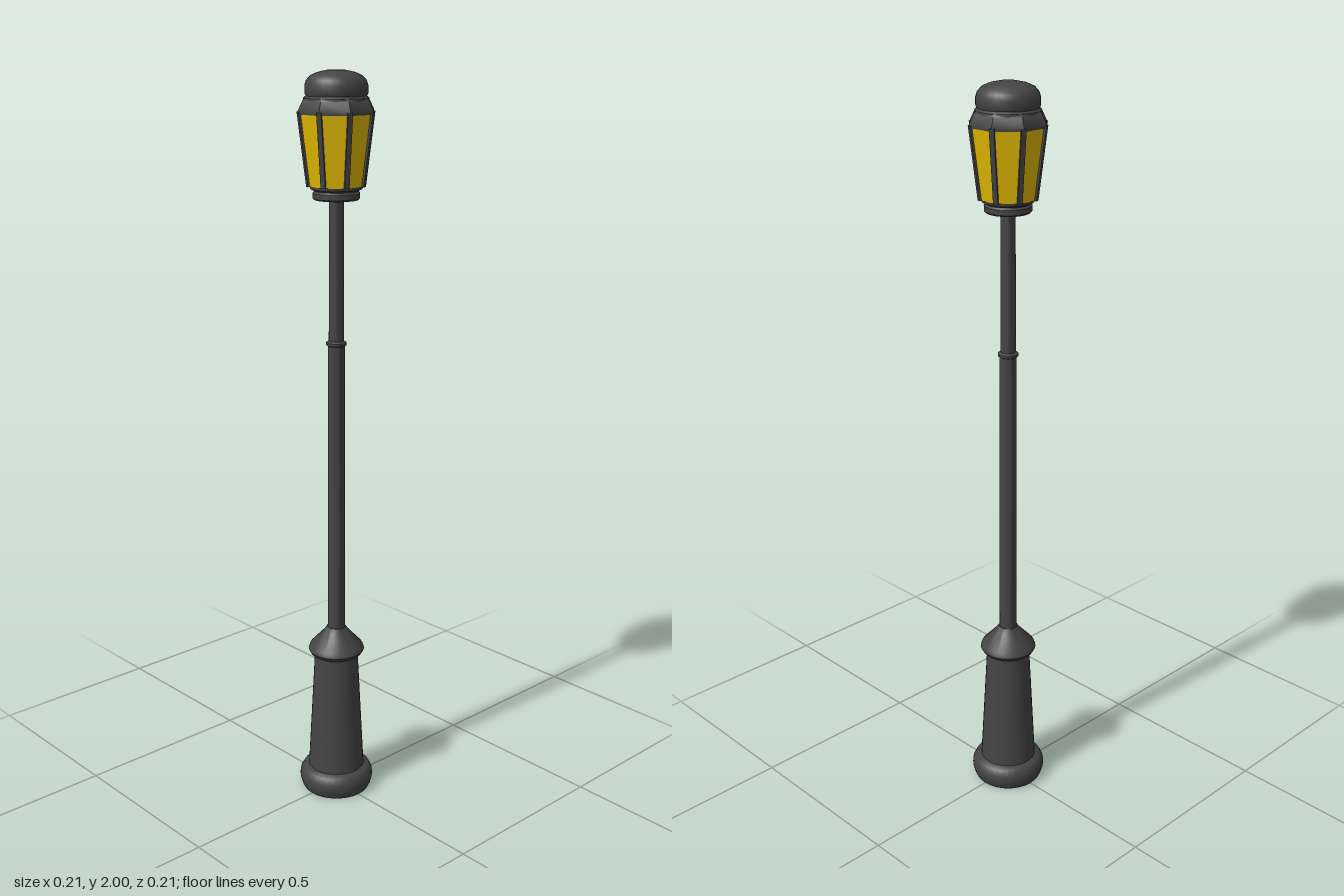
import * as THREE from 'three';
import { toCreasedNormals } from 'three/addons/utils/BufferGeometryUtils.js';

const metal = new THREE.MeshStandardMaterial({ color: 0x444444 });
const yellow = new THREE.MeshStandardMaterial({ color: 0xe0b800 });

export function createModel() {
  const model = new THREE.Group();

  const add = (name, geometry, material = metal) => {
    const mesh = new THREE.Mesh(geometry, material);
    mesh.name = name;
    model.add(mesh);
    return mesh;
  };
  // Turned part from [radius, height] pairs, listed from bottom to top
  const turned = (name, profile, sides = 32, start = 0) => {
    const points = profile.map(([r, y]) => new THREE.Vector2(r, y));
    const lathe = new THREE.LatheGeometry(points, sides, start);
    return add(name, toCreasedNormals(lathe, 0.6));
  };

  // Foot, tapered pedestal and conical collar
  turned('foot', [[0, 0], [0.094, 0], [0.099, 0.01], [0.104, 0.03], [0.103, 0.045],
    [0.095, 0.06], [0.08, 0.068], [0, 0.068]]);
  turned('pedestal', [[0.079, 0.06], [0.06, 0.42]]);
  turned('collar', [[0.058, 0.41], [0.072, 0.418], [0.078, 0.428], [0.074, 0.44],
    [0.034, 0.483], [0.026, 0.495], [0, 0.495]]);

  // Pole in two widths with a ring at the joint
  turned('lowerPole', [[0.024, 0.48], [0.0225, 1.305], [0, 1.305]], 24);
  turned('jointRing', [[0.022, 1.298], [0.027, 1.301], [0.027, 1.308], [0.019, 1.313]], 24);
  turned('upperPole', [[0.02, 1.3], [0.019, 1.69]], 24);

  // Cup that holds the lantern
  turned('lanternCup', [[0, 1.68], [0.057, 1.68], [0.061, 1.684], [0.061, 1.697],
    [0.056, 1.702], [0.066, 1.707], [0.069, 1.714], [0.068, 1.72], [0, 1.72]]);

  // Eight-sided glass, flat side to the front
  const y0 = 1.715, y1 = 1.9, r0 = 0.076, r1 = 0.1;
  const glass = new THREE.CylinderGeometry(r1, r0, y1 - y0, 8, 1, false, Math.PI / 8);
  glass.translate(0, (y0 + y1) / 2, 0);
  add('lanternGlass', toCreasedNormals(glass, 0.3), yellow);

  // Bars along the corners of the glass
  const length = Math.hypot(y1 - y0, r1 - r0);
  const lean = Math.atan2(r1 - r0, y1 - y0);
  for (let i = 0; i < 8; i++) {
    const bar = new THREE.BoxGeometry(0.013, length, 0.008);
    bar.rotateX(lean);
    bar.translate(0, (y0 + y1) / 2, (r0 + r1) / 2 - 0.001);
    bar.rotateY(Math.PI / 8 + i * Math.PI / 4);
    add('glazingBar', bar);
  }

  // Eight-sided rim under a round domed cap
  turned('lanternRim', [[0, 1.893], [0.101, 1.893], [0.102, 1.902], [0.09, 1.926],
    [0.084, 1.932], [0, 1.932]], 8, Math.PI / 8);
  turned('lanternCap', [[0.084, 1.925], [0.083, 1.932], [0.077, 1.937], [0.08, 1.943],
    [0.08, 1.962], [0.076, 1.975], [0.066, 1.986], [0.048, 1.994], [0.025, 1.999], [0, 2]]);

  return model;
}
